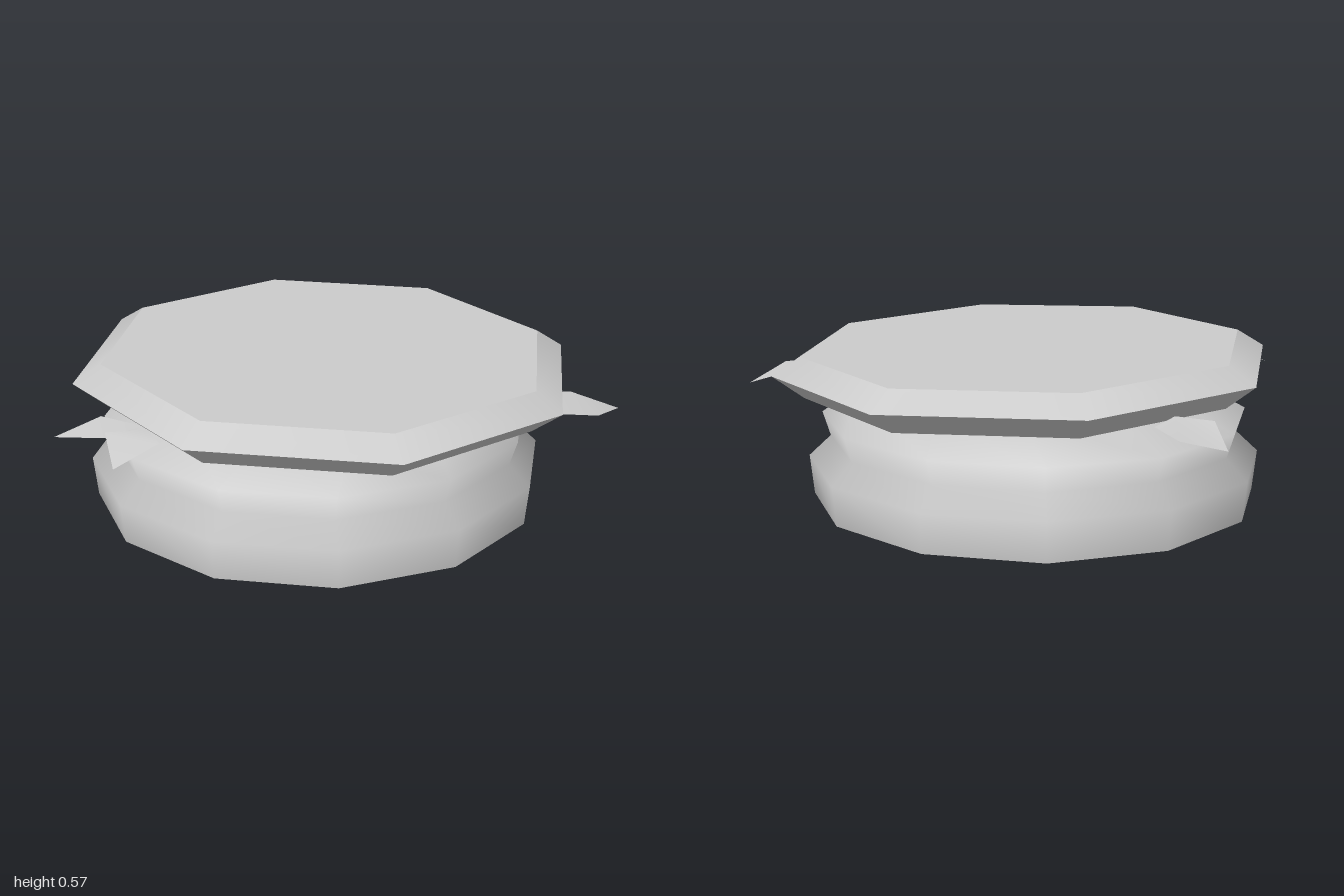
import * as THREE from 'three';
import { mergeVertices } from 'three/addons/utils/BufferGeometryUtils.js';

const grey = new THREE.MeshStandardMaterial({ color: 0xcccccc, side: THREE.DoubleSide });

function add(group, name, geometry) {
  const mesh = new THREE.Mesh(geometry, grey);
  mesh.name = name;
  group.add(mesh);
  return mesh;
}

const lathe = (points, sides, start = 0) =>
  new THREE.LatheGeometry(points.map(([r, y]) => new THREE.Vector2(r, y)), sides, start);

// Twelve-sided ridged wall, open underneath and closed on top, its neck a little off centre
function bodyGeometry() {
  let geometry = lathe([[0.815, 0], [0.83, 0.145], [0.75, 0.22], [0.778, 0.31], [0.6, 0.405], [0, 0.405]], 12);
  geometry.deleteAttribute('uv');
  geometry.deleteAttribute('normal');
  geometry = mergeVertices(geometry, 1e-4);
  const pos = geometry.attributes.position;
  for (let i = 0; i < pos.count; i++) {
    const neck = pos.getY(i) > 0.35;
    pos.setX(i, pos.getX(i) - (neck ? 0.015 : 0.07));
    pos.setZ(i, pos.getZ(i) + (neck ? 0.01 : -0.02));
    // the top follows the tilt of the lid
    if (neck) pos.setY(i, 0.402 - 0.019 * pos.getX(i));
  }
  geometry.computeVertexNormals();
  return geometry;
}

// Thin flap from an outline of corners, drawn as a fan
function flapGeometry(corners) {
  const geometry = new THREE.BufferGeometry();
  geometry.setAttribute('position', new THREE.Float32BufferAttribute(corners.flat(), 3));
  const index = [];
  for (let i = 1; i < corners.length - 1; i++) index.push(0, i + 1, i);
  geometry.setIndex(index);
  geometry.computeVertexNormals();
  return geometry;
}

export function createModel() {
  const group = new THREE.Group();
  group.name = 'liddedPot';

  add(group, 'body', bodyGeometry());

  // Bevelled octagonal lid, slightly tilted; each band is smooth, with sharp edges between
  const lid = new THREE.Group();
  lid.name = 'lid';
  lid.position.set(-0.035, 0.491, -0.001);
  lid.rotation.z = -0.019;
  group.add(lid);
  const lidProfile = [[0, -0.086], [0.81, -0.086], [0.921, 0], [0.82, 0.065], [0, 0.065]];
  ['lidUnderside', 'lowerBevel', 'upperBevel', 'lidTop'].forEach((name, i) =>
    add(lid, name, lathe(lidProfile.slice(i, i + 2), 8, THREE.MathUtils.degToRad(9.9))));

  // Torn flaps sticking out from under the lid
  const flaps = {
    leftFlap: [[0.83, 0.42, 0.18], [0.68, 0.425, 0.2], [0.7, 0.425, 0.39], [0.88, 0.41, 0.39], [1, 0.365, 0.22]],
    rightFlap: [[-0.7, 0.45, 0.42], [-0.82, 0.44, 0.49], [-1, 0.4, 0.37], [-0.84, 0.45, 0.32]].reverse(),
    frontFlap: [[-0.68, 0.47, 0.5], [-0.64, 0.47, 0.62], [-0.79, 0.415, 0.69], [-0.82, 0.465, 0.5]].reverse(),
    backFlap: [[-0.5, 0.44, -0.65], [-0.63, 0.425, -0.66], [-0.65, 0.365, -0.82], [-0.49, 0.405, -0.84], [-0.42, 0.43, -0.75]],
  };
  for (const [name, corners] of Object.entries(flaps)) add(group, name, flapGeometry(corners));

  return group;
}
